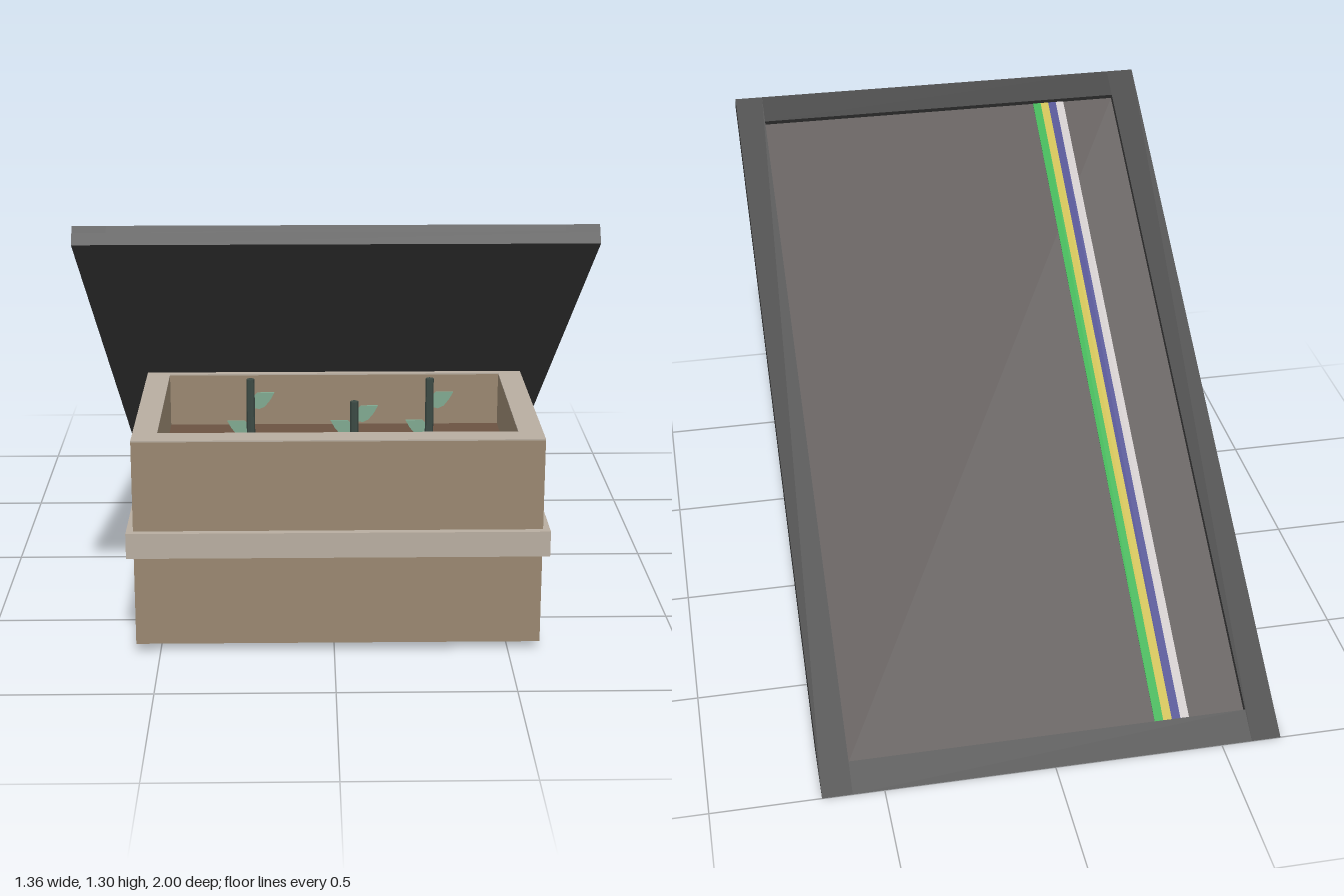
import * as THREE from 'three';

const mat = (color, side = THREE.FrontSide) => new THREE.MeshStandardMaterial({ color, side, flatShading: true });
const WOOD = mat(0x998770), TRIM = mat(0xb8ada0), SOIL = mat(0x6b5342);
const FRAME = mat(0x3c3c3c), PANEL = mat(0x575150);
const STAKE = mat(0x3c4a44), LEAF = mat(0x7fa890, THREE.DoubleSide);

function add(parent, name, geometry, material, x = 0, y = 0, z = 0) {
  const mesh = new THREE.Mesh(geometry, material);
  mesh.name = name;
  mesh.position.set(x, y, z);
  parent.add(mesh);
  return mesh;
}

// Rectangular ring of outer size w x d, wall thickness t, rising from y = 0 to h
function ringGeometry(w, d, t, h) {
  const rect = (Kind, a, b) => new Kind([[-a, -b], [a, -b], [a, b], [-a, b]].map(p => new THREE.Vector2(...p)));
  const shape = rect(THREE.Shape, w / 2, d / 2);
  shape.holes.push(rect(THREE.Path, w / 2 - t, d / 2 - t));
  return new THREE.ExtrudeGeometry(shape, { depth: h, bevelEnabled: false }).rotateX(-Math.PI / 2);
}

// Planter: walls, floor, rim, belt and soil
function createPlanter() {
  const g = new THREE.Group();
  g.name = 'planter';
  g.position.set(0.011, 0, 0.373);
  const w = 1.16, d = 0.716, t = 0.07;
  add(g, 'walls', ringGeometry(w, d, t, 0.61), WOOD, 0, 0.03, 0);
  add(g, 'floor', new THREE.BoxGeometry(w - 2 * t, 0.03, d - 2 * t), WOOD, 0, 0.045, 0);
  add(g, 'rim', ringGeometry(w, d, t, 0.004), TRIM, 0, 0.64, 0);
  add(g, 'belt', ringGeometry(w + 0.04, d + 0.04, 0.03, 0.075), TRIM, 0, 0.3, 0);
  add(g, 'soil', new THREE.BoxGeometry(w - 2 * t, 0.42, d - 2 * t), SOIL, 0, 0.27, 0);
  return g;
}

// Seedling: a thin stem with one leaf on each side
function createSeedling(x, top, rightLeaf, leftLeaf) {
  const g = new THREE.Group();
  g.name = 'seedling';
  g.position.set(x, 0, 0.375);
  const h = top - 0.47;
  add(g, 'stem', new THREE.CylinderGeometry(0.012, 0.013, h, 8), STAKE, 0, 0.47 + h / 2, 0);
  const outline = [[0.008, -0.012], [0.02, 0], [0.07, 0], [0.058, -0.022], [0.042, -0.042], [0.025, -0.05], [0.008, -0.046]];
  for (const [side, y] of [[1, rightLeaf], [-1, leftLeaf]]) {
    const shape = new THREE.Shape(outline.map(([a, b]) => new THREE.Vector2(a * side, b)));
    add(g, 'leaf', new THREE.ExtrudeGeometry(shape, { depth: 0.008, bevelEnabled: false }), LEAF, 0, y, -0.008);
  }
  return g;
}

// Sloping lid; profiles are (distance up the slope, height above the lid's face)
function createLid() {
  const g = new THREE.Group();
  g.name = 'slopingLid';
  const angle = Math.atan(0.6624), c = Math.cos(angle), s = Math.sin(angle);
  const basis = new THREE.Matrix4().makeBasis(
    new THREE.Vector3(0, s, c), new THREE.Vector3(0, c, -s), new THREE.Vector3(-1, 0, 0));
  g.quaternion.setFromRotationMatrix(basis);
  g.position.set(0, 0.003, -1);

  const L = 2.363, T = 0.053, R = 0.02, B = 0.096, W = 0.68, I = 0.592;
  const bevelEnd = 0.165, cut = bevelEnd * R / T;
  const bar = (name, profile, x0, x1, material) => {
    const shape = new THREE.Shape(profile.map(p => new THREE.Vector2(...p)));
    const geo = new THREE.ExtrudeGeometry(shape, { depth: x1 - x0, bevelEnabled: false });
    add(g, name, geo, material, 0, 0, -x1);
  };
  // backing with the tapered lower edge
  bar('backing', [[cut, -R], [bevelEnd, -T], [L, -T], [L, -R]], -W, W, FRAME);
  // raised border
  const full = [[0, 0], [cut, -R], [L, -R], [L, 0]];
  bar('sideBorder', full, -W, -I, FRAME);
  bar('sideBorder', full, I, W, FRAME);
  bar('lowerBorder', [[0, 0], [cut, -R], [B, -R], [B, 0]], -I, I, FRAME);
  bar('upperBorder', [[L - B, 0], [L - B, -R], [L, -R], [L, 0]], -I, I, FRAME);
  // recessed sheet and its coloured stripes
  const strip = (v0, v1) => [[B, v0], [L - B, v0], [L - B, v1], [B, v1]];
  bar('recessedSheet', strip(-R - 0.002, -R + 0.001), -I, I, PANEL);
  [0xc9c4c4, 0x45458c, 0xc8b848, 0x2fae4a].forEach((color, i) => {
    const x = -0.424 + i * 0.0262;
    bar('stripe', strip(-R, -R + 0.003), x, x + 0.0262, mat(color));
  });
  return g;
}

export function createModel() {
  const model = new THREE.Group();
  model.name = 'planterWithLid';
  model.add(
    createPlanter(),
    createSeedling(-0.242, 0.715, 0.672, 0.585),
    createSeedling(0.065, 0.645, 0.63, 0.585),
    createSeedling(0.288, 0.715, 0.672, 0.585),
    createLid());
  return model;
}
